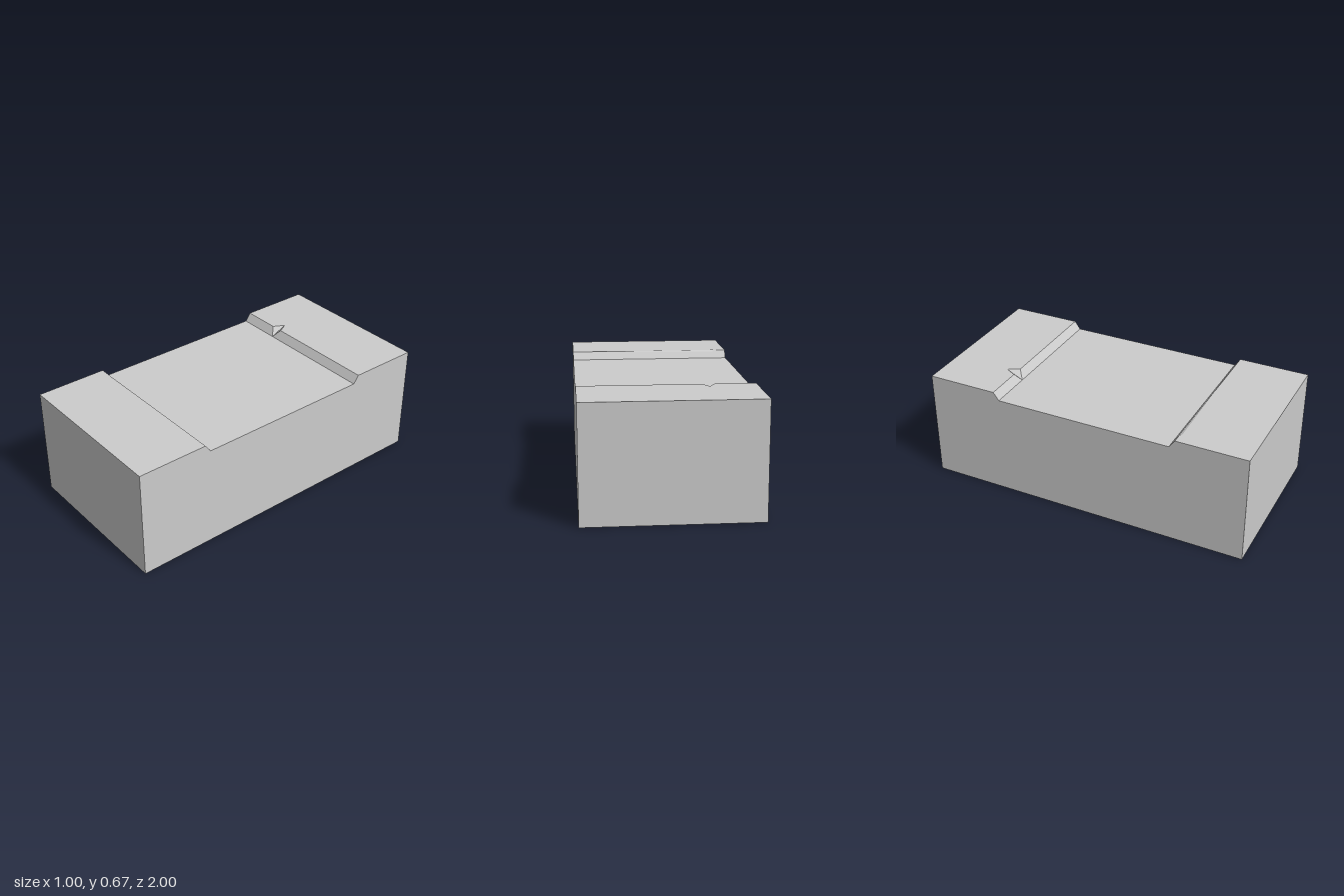
import * as THREE from 'three';

const W = 0.5, L = 1, H = 0.667, F = 0.62;   // half width, half length, bank top, channel floor
const LIP = 0.572, TOE = 0.538;              // upper and lower edge of each channel slope

// Flat-shaded mesh from convex (or fan-safe) polygons, corners counter-clockwise from outside
function polyMesh(name, polygons) {
  const pos = [];
  const [a, b, c] = [0, 1, 2].map(() => new THREE.Vector3());
  for (const p of polygons) {
    for (let i = 1; i < p.length - 1; i++) {
      a.set(...p[0]); b.set(...p[i]); c.set(...p[i + 1]);
      if (new THREE.Triangle(a, b, c).getArea() < 1e-9) continue;
      pos.push(...p[0], ...p[i], ...p[i + 1]);
    }
  }
  const geo = new THREE.BufferGeometry();
  geo.setAttribute('position', new THREE.Float32BufferAttribute(pos, 3));
  geo.computeVertexNormals();
  const mesh = new THREE.Mesh(geo, new THREE.MeshStandardMaterial({ color: 0xcccccc, flatShading: true }));
  mesh.name = name;
  return mesh;
}

export function createModel() {
  const group = new THREE.Group();
  group.name = 'channelBlock';

  // Side walls, in strips below the channel profile
  const profile = [[-L, H], [-LIP, H], [-TOE, F], [TOE, F], [LIP, H], [L, H]];
  const sides = [];
  for (let i = 0; i < profile.length - 1; i++) {
    const [z0, y0] = profile[i], [z1, y1] = profile[i + 1];
    sides.push([[W, 0, z1], [W, 0, z0], [W, y0, z0], [W, y1, z1]]);
    sides.push([[-W, 0, z0], [-W, 0, z1], [-W, y1, z1], [-W, y0, z0]]);
  }
  group.add(polyMesh('sideWalls', sides));

  // End walls, underside and channel floor
  group.add(polyMesh('endWalls', [
    [[-W, 0, L], [W, 0, L], [W, H, L], [-W, H, L]],
    [[W, 0, -L], [-W, 0, -L], [-W, H, -L], [W, H, -L]],
  ]));
  group.add(polyMesh('underside', [[[-W, 0, -L], [W, 0, -L], [W, 0, L], [-W, 0, L]]]));
  group.add(polyMesh('channelFloor', [[[-W, F, TOE], [W, F, TOE], [W, F, -TOE], [-W, F, -TOE]]]));

  // Back bank and slope, split around a small V-shaped notch
  const tip = [-0.233, H, -0.64], base = [-0.235, F, -TOE];
  const left = [-0.268, H, -LIP], right = [-0.196, H, -LIP];
  group.add(polyMesh('backBank', [
    [[-W, H, -L], [-W, H, -LIP], left, tip, [tip[0], H, -L]],
    [[W, H, -L], [tip[0], H, -L], tip, right, [W, H, -LIP]],
  ]));
  group.add(polyMesh('backSlope', [
    [[-W, F, -TOE], base, left, [-W, H, -LIP]],
    [base, [W, F, -TOE], [W, H, -LIP], right],
  ]));
  group.add(polyMesh('notch', [[base, tip, left], [base, right, tip]]));

  // Front slope and bank, with a worn lip that tapers away along x
  const wear = [[-W, 0], [-0.45, 0], [-0.42, 0.012], [-0.1, 0.006], [0.2, 0], [W, 0]];
  const rows = wear.map(([x, w]) => [
    [x, F, TOE], [x, H - 0.8 * w, LIP - 0.58 * w], [x, H, LIP + w], [x, H, L],
  ]);
  const strips = ['frontSlope', 'wornLip', 'frontBank'];
  strips.forEach((name, j) => {
    const quads = [];
    for (let i = 0; i < rows.length - 1; i++) {
      quads.push([rows[i][j], rows[i][j + 1], rows[i + 1][j + 1], rows[i + 1][j]]);
    }
    group.add(polyMesh(name, quads));
  });

  return group;
}
